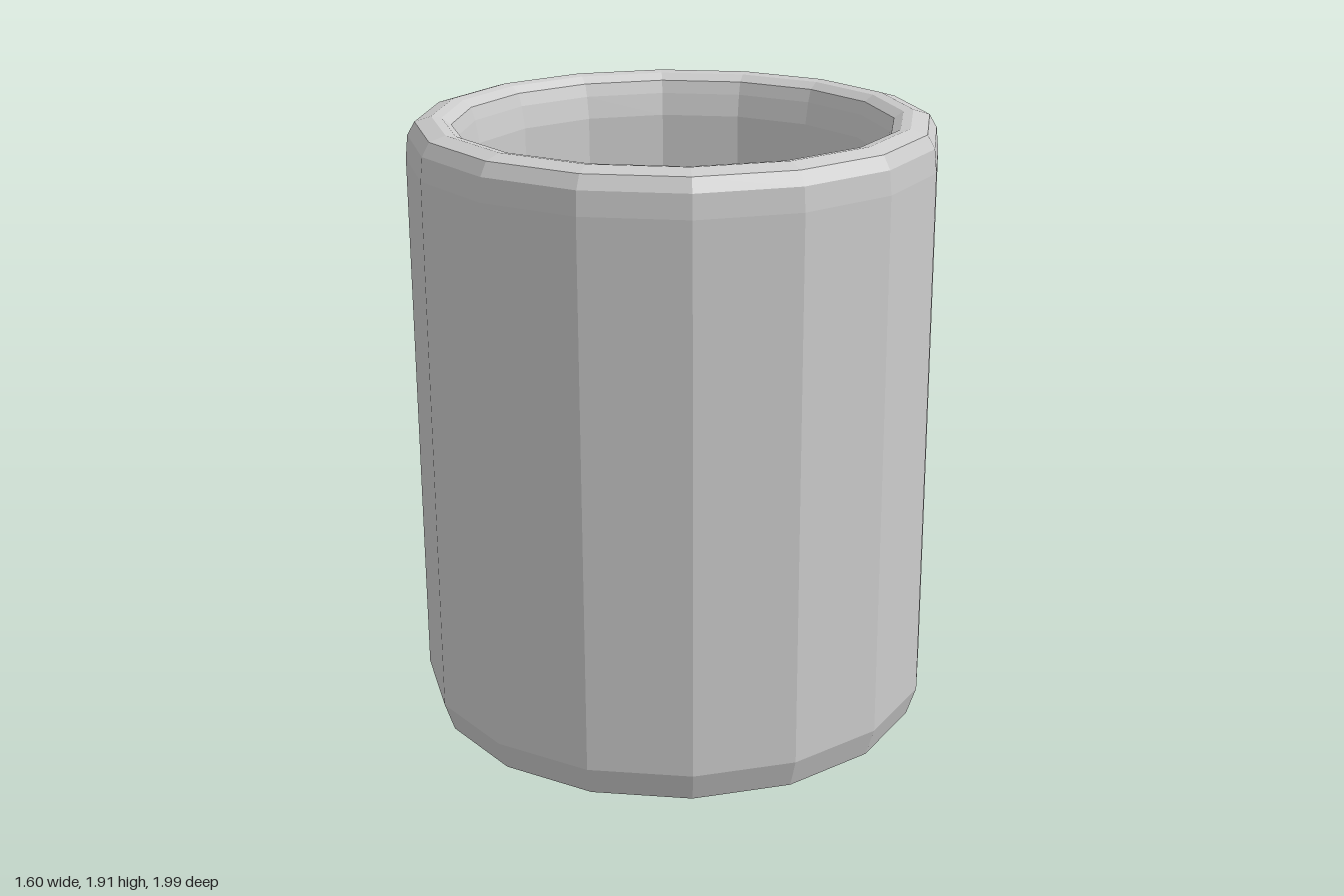
import * as THREE from 'three';

const SIDES = 16;
const START = 0.05; // small twist of the facets about the vertical axis

const lathe = (points) => new THREE.LatheGeometry(
  points.map(([r, y]) => new THREE.Vector2(r, y)), SIDES, START, Math.PI * 2);

export function createModel() {
  const model = new THREE.Group();
  model.name = 'mug';
  const grey = new THREE.MeshStandardMaterial({ color: 0xcccccc });
  grey.name = 'grey';
  grey.flatShading = true;

  const add = (geometry, name, parent) => {
    const mesh = new THREE.Mesh(geometry, grey);
    mesh.name = name;
    parent.add(mesh);
    return mesh;
  };

  // The cup stands forward of the centre to leave room for the handle
  const cup = new THREE.Group();
  cup.name = 'cup';
  cup.position.z = 0.195;
  model.add(cup);

  // Outer wall, rounded rim and inner wall in one profile
  add(lathe([
    [0, 0], [0.69, 0.005], [0.77, 0.04], [0.8, 0.13],
    [0.8, 1.79], [0.793, 1.86], [0.77, 1.9], [0.72, 1.915],
    [0.69, 1.91], [0.662, 1.89], [0.65, 1.85], [0.637, 1.78],
    [0.632, 0.25], [0.58, 0.16], [0, 0.15],
  ]), 'body', cup);

  // Gently rippled drink surface
  const drink = lathe([[0.634, 1.51], [0.39, 1.51], [0, 1.515]]);
  const p = drink.attributes.position;
  for (let i = 0; i < p.count; i++) {
    const r = Math.hypot(p.getX(i), p.getZ(i));
    if (r > 0.1 && r < 0.5) {
      const a = Math.atan2(p.getZ(i), p.getX(i));
      p.setY(i, 1.51 + 0.025 * Math.sin(3 * a + 0.6));
    }
  }
  add(drink, 'drink', cup);

  // Handle: a little over half a ring, pointing back and to the right
  const arc = Math.PI + 0.12;
  const ring = new THREE.TorusGeometry(0.435, 0.105, 10, 20, arc);
  ring.rotateZ(-arc / 2);
  ring.translate(0.772, 0.895, 0);
  ring.rotateY(2.015);
  add(ring, 'handle', cup);

  return model;
}
